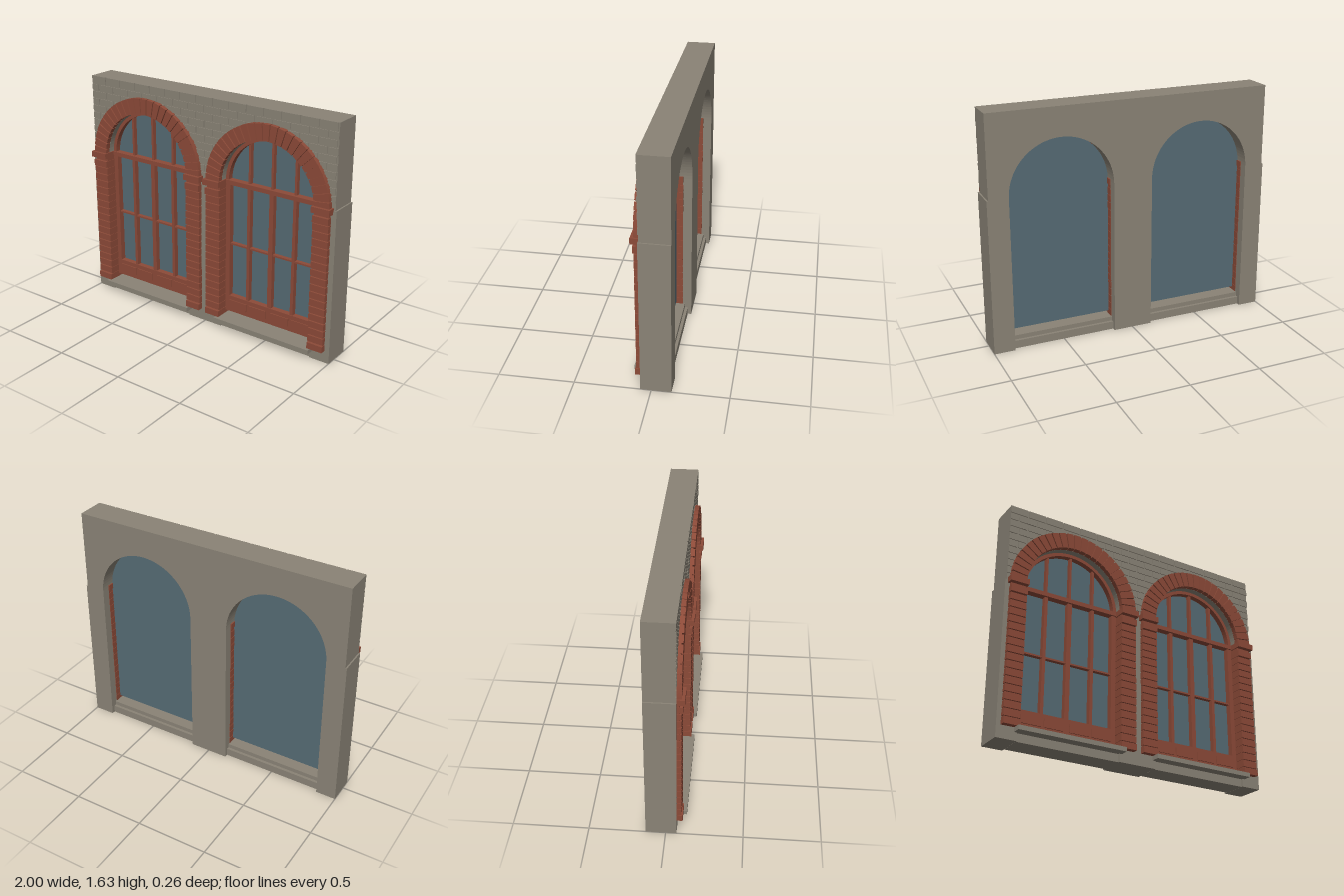
import * as THREE from 'three';

const stone = new THREE.MeshStandardMaterial({ color: 0x8a8376 });
const brick = new THREE.MeshStandardMaterial({ color: 0x8c4a38 });
const glass = new THREE.MeshStandardMaterial({ color: 0x566b74 });
stone.name = 'stone';
brick.name = 'redBrick';
glass.name = 'blueGlass';

const CENTRES = [-0.5, 0.495];
const SPRING = 1.07; // height where the arches begin
const R = 0.36; // opening half width
const OUT = 0.47; // outer radius of the brick surround

function add(parent, name, geometry, material) {
  const mesh = new THREE.Mesh(geometry, material);
  mesh.name = name;
  parent.add(mesh);
  return mesh;
}

// Box given by its limits on each axis
function box(parent, name, material, x0, x1, y0, y1, z0, z1) {
  const mesh = add(parent, name, new THREE.BoxGeometry(x1 - x0, y1 - y0, z1 - z0), material);
  mesh.position.set((x0 + x1) / 2, (y0 + y1) / 2, (z0 + z1) / 2);
  return mesh;
}

function extrude(parent, name, material, shape, z0, z1) {
  const geometry = new THREE.ExtrudeGeometry(shape, { depth: z1 - z0, bevelEnabled: false, curveSegments: 24 });
  geometry.translate(0, 0, z0);
  return add(parent, name, geometry, material);
}

// Part of a ring around the arch centre
function ringShape(r0, r1, a0, a1) {
  const shape = new THREE.Shape();
  shape.absarc(0, SPRING, r1, a0, a1, false);
  shape.absarc(0, SPRING, r0, a1, a0, true);
  return shape;
}

function buildWall(parent) {
  const wall = new THREE.Group();
  wall.name = 'wall';
  parent.add(wall);

  // Piers beside the openings
  const edges = [-1, CENTRES[0] - R, CENTRES[0] + R, CENTRES[1] - R, CENTRES[1] + R, 1];
  for (let i = 0; i < 6; i += 2) {
    box(wall, 'pier', stone, edges[i], edges[i + 1], 0, SPRING, -0.13, 0.07);
  }

  // Upper wall with the two arches cut out of its lower edge
  const shape = new THREE.Shape();
  shape.moveTo(-0.99, SPRING);
  for (const cx of CENTRES) {
    shape.lineTo(cx - R, SPRING);
    shape.absarc(cx, SPRING, R, Math.PI, 0, true);
  }
  shape.lineTo(0.99, SPRING);
  shape.lineTo(0.99, 1.63);
  shape.lineTo(-0.99, 1.63);
  extrude(wall, 'upperWall', stone, shape, -0.13, 0.064);

  // Shallow brick courses on the front of the upper wall
  const rows = 11, pitch = (1.63 - SPRING) / rows, length = 0.132, gap = 0.009;
  for (let row = 0; row < rows; row++) {
    const y0 = SPRING + row * pitch, y1 = y0 + pitch - (row < rows - 1 ? gap : 0);
    for (let x = -0.99 - (row % 2) * length / 2; x < 0.98; x += length) {
      const x0 = Math.max(x, -0.99), x1 = Math.min(x + length - gap, 0.99);
      if (x1 - x0 < 0.01) continue;
      const clear = CENTRES.every((cx) => {
        const nearest = THREE.MathUtils.clamp(cx, x0, x1) - cx;
        return Math.hypot(nearest, y0 - SPRING) > R + 0.005;
      });
      if (clear) box(wall, 'wallBrick', stone, x0, x1, y0, y1, 0.062, 0.07);
    }
  }
}

function buildSurround(parent) {
  const surround = new THREE.Group();
  surround.name = 'brickSurround';
  parent.add(surround);

  for (const side of [-1, 1]) {
    const block = (name, a, b, y0, y1, z0, z1) =>
      box(surround, name, brick, Math.min(side * a, side * b), Math.max(side * a, side * b), y0, y1, z0, z1);

    // Jamb bricks over recessed joints; first and second to last stand proud
    const rows = 18, pitch = 0.0525;
    block('jambJoint', R - 0.001, OUT - 0.004, 0.085, 1.045, -0.068, 0.088);
    for (let i = 0; i < rows; i++) {
      const y = 0.085 + i * pitch;
      const proud = i === 0 || i === rows - 1;
      block('jambBrick', R - 0.004, OUT, y, y + pitch - 0.008, -0.07, proud ? 0.108 : 0.1);
    }
    block('impost', R - 0.008, OUT + 0.012, 1.045, 1.085, -0.07, 0.12);
  }

  // Arch of wedge blocks over a recessed joint ring
  extrude(surround, 'archJoint', brick, ringShape(R + 0.003, OUT - 0.004, 0, Math.PI), 0.06, 0.088);
  const count = 25, step = Math.PI / count;
  for (let i = 0; i < count; i++) {
    extrude(surround, 'archBrick', brick, ringShape(R, OUT, i * step + 0.009, (i + 1) * step - 0.009), 0.06, 0.1);
  }
}

function buildWindow(parent) {
  const window = new THREE.Group();
  window.name = 'window';
  parent.add(window);
  const back = -0.02;

  // Glass pane
  const pane = new THREE.Shape();
  pane.moveTo(-R + 0.002, 0.107);
  pane.lineTo(R - 0.002, 0.107);
  pane.absarc(0, SPRING, R - 0.002, 0, Math.PI, false);
  extrude(window, 'glass', glass, pane, -0.026, back);

  // Frame
  extrude(window, 'archFrame', brick, ringShape(0.335, R - 0.001, 0, Math.PI), back, 0.02);
  for (const s of [-1, 1]) {
    const x = s * 0.3405;
    box(window, 'sideFrame', brick, x - 0.0175, x + 0.0175, 0.11, SPRING, back, 0.02);
  }
  box(window, 'transom', brick, -0.357, 0.357, 1.053, 1.083, back, 0.03);
  box(window, 'bottomRail', brick, -0.357, 0.357, 0.11, 0.23, back, 0.02);
  box(window, 'glazingBar', brick, -0.325, 0.325, 0.614, 0.626, back, 0.01);

  // Mullions, slimmer above the transom
  for (const x of [-0.176, 0, 0.176]) {
    const w = x === 0 ? 0.016 : 0.011;
    const top = SPRING + Math.sqrt(0.345 ** 2 - x * x);
    box(window, 'mullion', brick, x - w, x + w, 0.23, 1.06, back, 0.015);
    box(window, 'upperMullion', brick, x - 0.008, x + 0.008, 1.07, top, back, 0.01);
  }

  // Raised panels in the bottom rail
  for (const x of [-0.249, -0.09, 0.09, 0.249]) {
    box(window, 'railPanel', brick, x - 0.07, x + 0.07, 0.143, 0.2, 0.018, 0.027);
  }
}

function buildSill(parent) {
  const sill = new THREE.Group();
  sill.name = 'sill';
  parent.add(sill);
  box(sill, 'sillSlab', stone, -0.38, 0.38, 0.055, 0.085, 0.03, 0.13);
  box(sill, 'innerSill', stone, -0.359, 0.359, 0.055, 0.085, -0.085, 0.03);
  box(sill, 'sillBase', stone, -0.359, 0.359, 0, 0.055, -0.105, 0.06);
}

export function createModel() {
  const model = new THREE.Group();
  model.name = 'archedWindowWall';
  buildWall(model);
  for (const cx of CENTRES) {
    const bay = new THREE.Group();
    bay.name = 'windowBay';
    bay.position.x = cx;
    buildSurround(bay);
    buildWindow(bay);
    buildSill(bay);
    model.add(bay);
  }
  return model;
}
